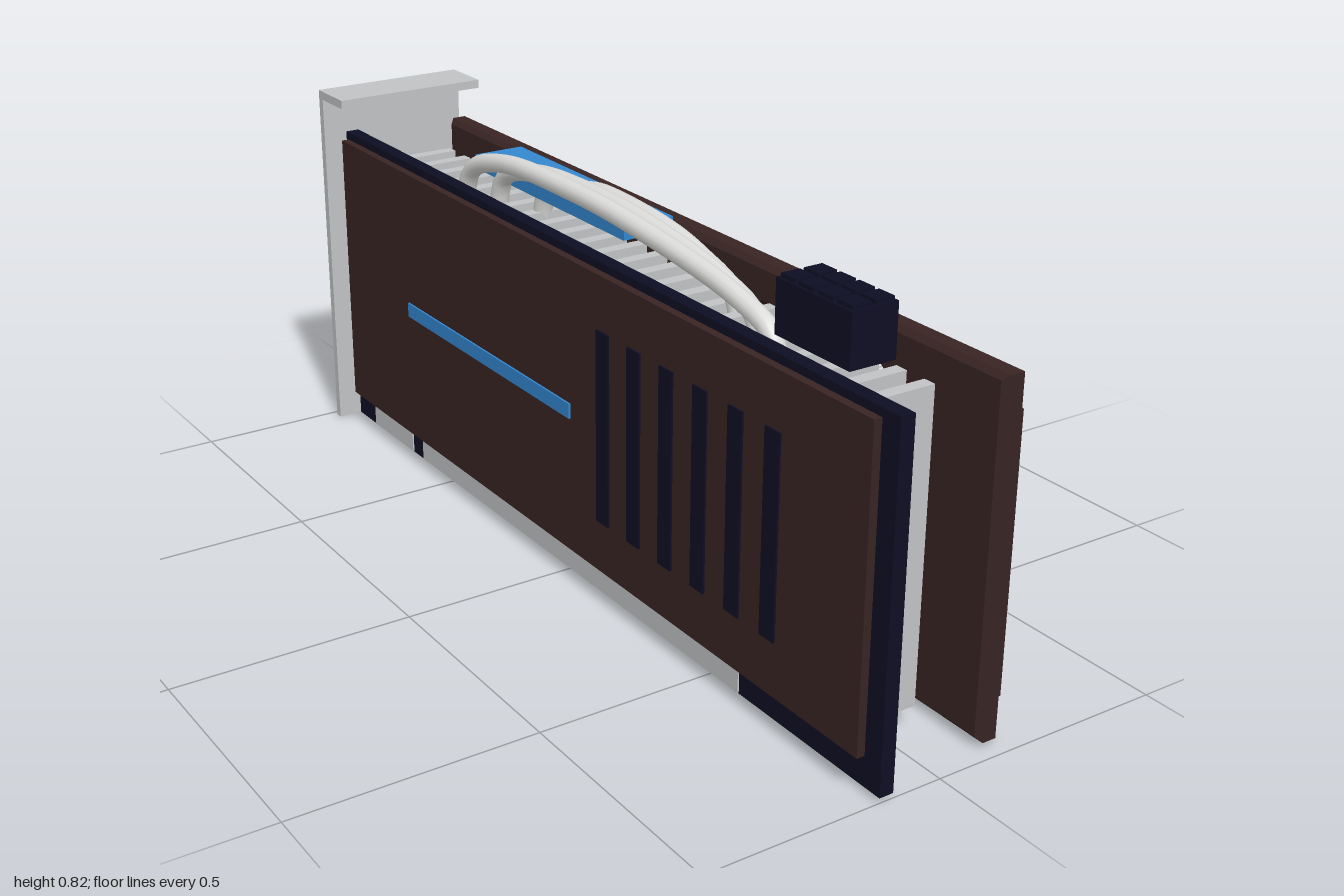
import * as THREE from 'three';

const mat = (name, color, side = THREE.FrontSide) => {
  const m = new THREE.MeshStandardMaterial({ color, side });
  m.name = name;
  return m;
};

export function createModel() {
  const brown = mat('shroudBrown', 0x382423);
  const navy = mat('darkNavy', 0x0e0e24);
  const bladeNavy = mat('bladeNavy', 0x0e0e24, THREE.DoubleSide);
  const blue = mat('accentBlue', 0x3388d0);
  const deepBlue = mat('portBlue', 0x0c4ca6);
  const metal = mat('metalGrey', 0xc2c3c4);
  const bright = mat('brightMetal', 0xdcdcda);

  const card = new THREE.Group();
  card.name = 'graphicsCard';

  const add = (parent, name, geo, material) => {
    const m = new THREE.Mesh(geo, material);
    m.name = name;
    parent.add(m);
    return m;
  };
  // box given by its limits on each axis
  const box = (name, material, x0, x1, y0, y1, z0, z1) => {
    const m = add(card, name, new THREE.BoxGeometry(x1 - x0, y1 - y0, z1 - z0), material);
    m.position.set((x0 + x1) / 2, (y0 + y1) / 2, (z0 + z1) / 2);
    return m;
  };

  // circuit board with edge contacts on both faces
  box('circuitBoard', navy, -0.135, -0.105, 0.01, 0.71, -0.946, 1.0);
  box('edgeContactsLong', metal, -0.138, -0.102, 0.012, 0.095, -0.62, 0.6);
  box('edgeContactsShort', metal, -0.138, -0.102, 0.012, 0.095, -0.86, -0.67);

  // backplate with slots and stripe
  box('backplate', brown, -0.162, -0.145, 0.08, 0.7, -0.914, 0.968);
  for (let i = 0; i < 6; i++) {
    const z = 0.185 + i * 0.106;
    box('backplateSlot', navy, -0.166, -0.161, 0.19, 0.59, z - 0.021, z + 0.021);
  }
  box('backplateStripe', blue, -0.166, -0.161, 0.37, 0.402, -0.61, 0.065);

  // heatsink fins
  for (let i = 0; i < 24; i++) {
    const z = -0.806 + i * 0.0717;
    box('heatsinkFin', metal, -0.07, 0.063, 0.05, 0.67, z - 0.0135, z + 0.0135);
  }

  // heat pipes arching over the fins
  const pipes = [
    { x: -0.065, front: 0.6, rear: -0.51, top: 0.782 },
    { x: -0.03, front: 0.5, rear: -0.43, top: 0.775 },
    { x: 0.005, front: 0.39, rear: -0.31, top: 0.765 },
  ];
  for (const { x, front, rear, top } of pipes) {
    const path = new THREE.CatmullRomCurve3([
      [0.61, front], [0.69, front - 0.02], [0.73, front - 0.12],
      [top - 0.01, 0.15], [top, -0.08], [top - 0.012, rear + 0.16],
      [0.725, rear + 0.03], [0.66, rear], [0.24, rear],
    ].map(([y, z]) => new THREE.Vector3(x, y, z)));
    add(card, 'heatPipe', new THREE.TubeGeometry(path, 60, 0.02, 12), bright);
    // closed pipe ends
    [[0.61, front], [0.24, rear]].forEach(([y, z]) => {
      const cap = add(card, 'heatPipeEnd', new THREE.CylinderGeometry(0.02, 0.02, 0.006, 12), bright);
      cap.position.set(x, y, z);
    });
  }

  // top accent bar
  box('accentBar', blue, -0.022, 0.093, 0.705, 0.735, -0.545, 0.042);

  // power connector with low ridges
  box('powerConnector', navy, -0.082, 0.017, 0.707, 0.812, 0.605, 0.808);
  for (let i = 0; i < 4; i++) {
    for (const x of [-0.057, -0.008]) {
      const z = 0.631 + i * 0.0505;
      box('connectorSocket', navy, x - 0.02, x + 0.02, 0.81, 0.82, z - 0.02, z + 0.02);
    }
  }

  // shroud group: local x runs toward the rear, local z points out of the fan face
  const face = new THREE.Group();
  face.name = 'fanShroud';
  face.rotation.y = Math.PI / 2;
  card.add(face);

  const fanCentres = [-0.475, 0.422];
  const fanY = 0.36;
  const outline = new THREE.Shape();
  outline.moveTo(-0.968, 0.01);
  outline.lineTo(0.914, 0.01);
  outline.lineTo(0.914, 0.71);
  outline.lineTo(-0.968, 0.71);
  outline.closePath();
  // round openings cut flat at top and bottom
  const a = Math.asin(0.267 / 0.312);
  for (const u of fanCentres) {
    const hole = new THREE.Path();
    hole.absarc(u, fanY, 0.312, -a, a, false);
    hole.absarc(u, fanY, 0.312, Math.PI - a, Math.PI + a, false);
    hole.closePath();
    outline.holes.push(hole);
  }
  const b = 0.011;
  const shroud = add(face, 'shroudPlate', new THREE.ExtrudeGeometry(outline, {
    depth: 0.052 - 2 * b, bevelThickness: b, bevelSize: b, bevelOffset: -b,
    bevelSegments: 1, curveSegments: 32,
  }), brown);
  shroud.position.z = 0.115 + b;

  // raised panels between and beside the fans
  for (const [u0, u1] of [[-0.957, -0.807], [-0.147, 0.094], [0.753, 0.903]]) {
    const p = add(face, 'shroudPanel', new THREE.BoxGeometry(u1 - u0, 0.55, 0.008), brown);
    p.position.set((u0 + u1) / 2, 0.361, 0.167);
  }

  // one swept, pitched blade made from cross-sections along its radius
  const bladeGeometry = () => {
    const pos = [], index = [], nr = 8, nw = 4;
    for (let i = 0; i <= nr; i++) {
      const t = i / nr, r = 0.075 + 0.215 * t;
      for (let j = 0; j <= nw; j++) {
        const s = j / nw - 0.5;
        const angle = -0.75 * t * t + s * (0.62 - 0.08 * t);
        const depth = 0.1 + s * (0.05 - 0.018 * t) + 0.004 * t;
        pos.push(r * Math.cos(angle), r * Math.sin(angle), depth);
        if (i < nr && j < nw) {
          const k = i * (nw + 1) + j;
          index.push(k, k + nw + 1, k + 1, k + 1, k + nw + 1, k + nw + 2);
        }
      }
    }
    const g = new THREE.BufferGeometry();
    g.setAttribute('position', new THREE.Float32BufferAttribute(pos, 3));
    g.setIndex(index);
    g.computeVertexNormals();
    return g;
  };
  const blade = bladeGeometry();

  // fans with trim rings
  for (const u of fanCentres) {
    const fan = new THREE.Group();
    fan.name = 'fan';
    fan.position.set(u, fanY, 0);
    face.add(fan);
    const ring = add(fan, 'trimRing', new THREE.TorusGeometry(0.317, 0.011, 10, 64), blue);
    ring.position.z = 0.166;
    for (let i = 0; i < 9; i++) {
      add(fan, 'fanBlade', blade, bladeNavy).rotation.z = (i / 9) * Math.PI * 2;
    }
    const disc = (name, r, z0, z1, material) => {
      const m = add(fan, name, new THREE.CylinderGeometry(r, r, z1 - z0, 36), material);
      m.rotation.x = Math.PI / 2;
      m.position.z = (z0 + z1) / 2;
    };
    disc('fanHub', 0.09, 0.08, 0.135, bright);
    disc('hubCap', 0.063, 0.134, 0.14, blue);
  }

  // mounting bracket with folded top tab
  box('bracketPlate', metal, -0.18, 0.17, 0, 0.805, -0.985, -0.967);
  box('bracketTab', metal, -0.18, 0.17, 0.786, 0.805, -0.967, -0.868);
  box('bracketPanel', metal, 0.04, 0.145, 0.12, 0.6, -0.992, -0.984);
  [[0.48, navy], [0.325, navy], [0.165, deepBlue]].forEach(([y, m]) =>
    box('displayPort', m, -0.13, -0.025, y - 0.034, y + 0.034, -1.0, -0.984));

  return card;
}
